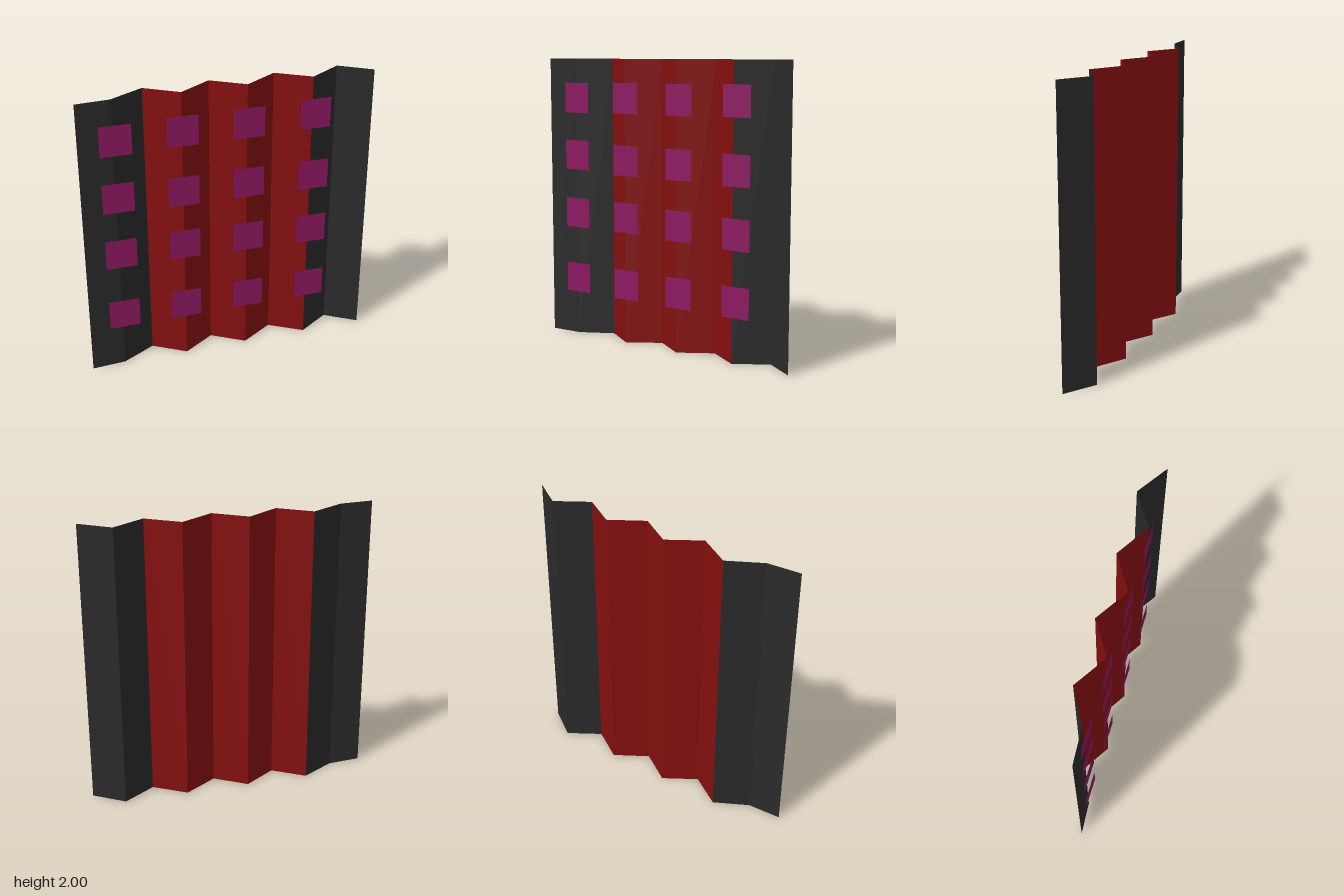
import * as THREE from 'three';

const HEIGHT = 2;
const DEPTH = 0.07;

// Fold lines of the screen seen from above: [x, z]
const folds = [
  [-1, DEPTH], [-0.77, 0.055], [-0.54, -DEPTH], [-0.32, DEPTH], [-0.1, -DEPTH],
  [0.12, DEPTH], [0.345, -DEPTH], [0.57, DEPTH], [0.79, -DEPTH], [1, DEPTH],
];

function material(color) {
  return new THREE.MeshStandardMaterial({ color, flatShading: true, side: THREE.DoubleSide });
}

// A thin pleated sheet whose columns follow the given fold lines
function pleatedSheet(name, points, mat) {
  const geometry = new THREE.PlaneGeometry(1, HEIGHT, points.length - 1, 1);
  const pos = geometry.attributes.position;
  for (let i = 0; i < pos.count; i++) {
    const [x, z] = points[i % points.length];
    pos.setXYZ(i, x, pos.getY(i) + HEIGHT / 2, z);
  }
  const flat = geometry.toNonIndexed();
  flat.computeVertexNormals();
  const mesh = new THREE.Mesh(flat, mat);
  mesh.name = name;
  return mesh;
}

export function createModel() {
  const model = new THREE.Group();
  model.name = 'pleatedScreen';

  const black = material(0x2a2a2a);
  const red = material(0x850f0f);
  const purple = material(0x8b1860);

  // Dark outer pleats and red middle pleats
  model.add(pleatedSheet('rightPleats', folds.slice(0, 3), black));
  model.add(pleatedSheet('middlePleats', folds.slice(2, 8), red));
  model.add(pleatedSheet('leftPleats', folds.slice(7), black));

  // Square patches on the front, four to a column with slightly uneven heights
  const columns = [
    { x: -0.755, heights: [0.417, 0.895, 1.315, 1.723] },
    { x: -0.315, heights: [0.417, 0.895, 1.297, 1.73] },
    { x: 0.135, heights: [0.417, 0.88, 1.297, 1.73] },
    { x: 0.595, heights: [0.417, 0.868, 1.288, 1.737] },
  ];
  const patchGeometry = new THREE.PlaneGeometry(0.212, 0.212);
  const patches = new THREE.Group();
  patches.name = 'squarePatches';
  for (const { x, heights } of columns) {
    for (const y of heights) {
      const patch = new THREE.Mesh(patchGeometry, purple);
      patch.name = 'squarePatch';
      patch.position.set(x, y, DEPTH + 0.001);
      patches.add(patch);
    }
  }
  model.add(patches);

  return model;
}
